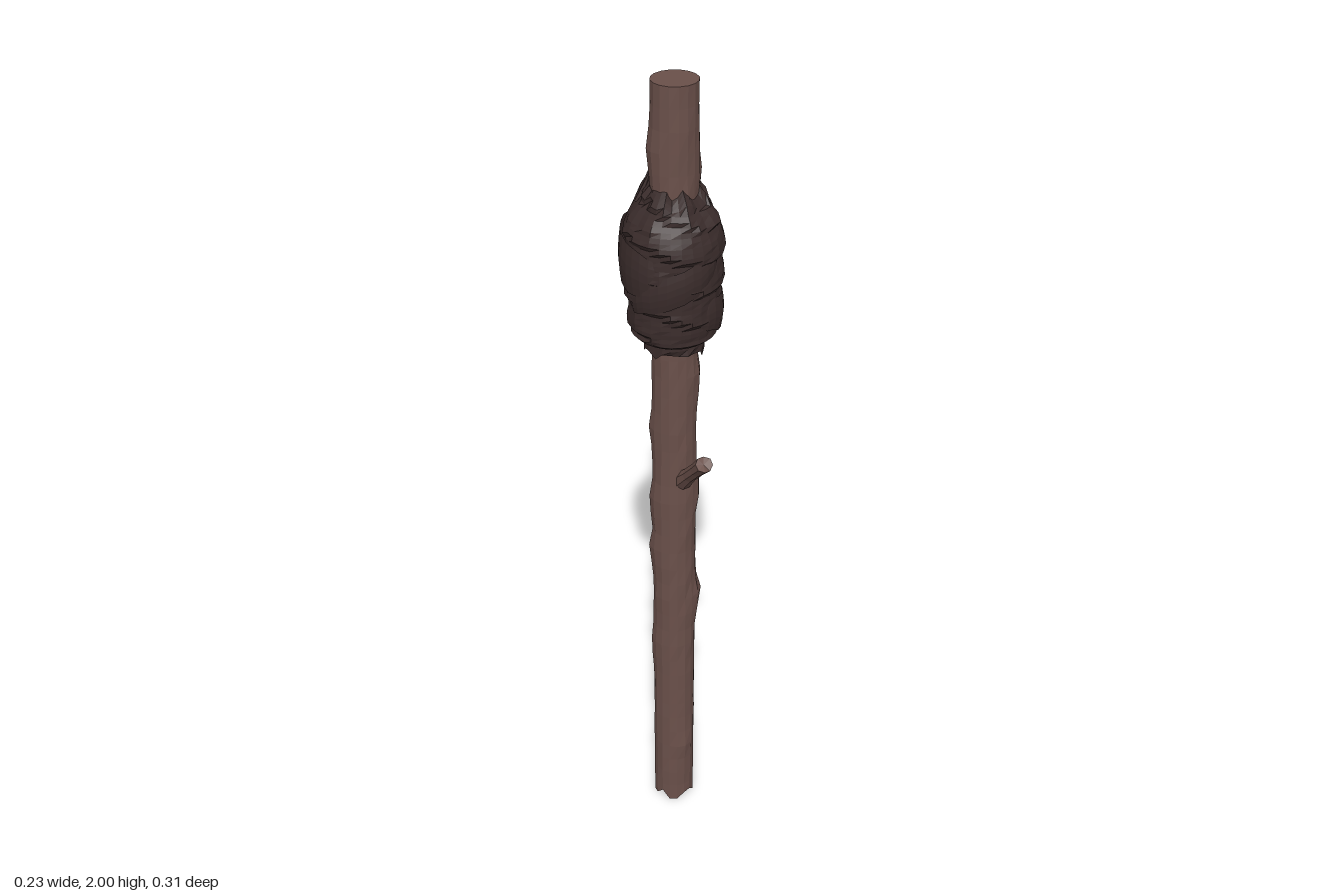
import * as THREE from 'three';

const WOOD = 0x6a504a, CLOTH = 0x3a2c2b;
const TAU = Math.PI * 2;

// repeatable noise in -1..1
const noise = (i, j) => {
  const s = Math.sin(i * 127.1 + j * 311.7) * 43758.5453;
  return (s - Math.floor(s)) * 2 - 1;
};
const lerpTable = (table, t) => {
  for (let i = 1; i < table.length; i++) {
    if (t <= table[i][0]) {
      const [a, b] = [table[i - 1], table[i]];
      return THREE.MathUtils.lerp(a[1], b[1], (t - a[0]) / (b[0] - a[0]));
    }
  }
  return table[table.length - 1][1];
};

// closed rings stacked upwards; point(row, side, angle) gives [x, y, z]
function loft(rows, sides, point, caps = []) {
  const pos = [], index = [];
  for (let i = 0; i < rows; i++)
    for (let j = 0; j < sides; j++) pos.push(...point(i, j, (j / sides) * TAU));
  const id = (i, j) => i * sides + (j % sides);
  for (let i = 0; i < rows - 1; i++)
    for (let j = 0; j < sides; j++)
      index.push(id(i, j), id(i, j + 1), id(i + 1, j + 1), id(i, j), id(i + 1, j + 1), id(i + 1, j));
  caps.forEach((centre, end) => {
    const c = pos.length / 3, row = end ? rows - 1 : 0;
    pos.push(...centre);
    for (let j = 0; j < sides; j++) {
      if (end) index.push(id(row, j), id(row, j + 1), c);
      else index.push(id(row, j + 1), id(row, j), c);
    }
  });
  const g = new THREE.BufferGeometry();
  g.setAttribute('position', new THREE.Float32BufferAttribute(pos, 3));
  g.setIndex(index);
  g.computeVertexNormals();
  return g;
}

function part(name, geometry, color, thin = false) {
  const material = new THREE.MeshStandardMaterial({ color, flatShading: true });
  if (thin) material.side = THREE.DoubleSide;
  const mesh = new THREE.Mesh(geometry, material);
  mesh.name = name;
  return mesh;
}

// knots on the shaft: height, angle from the front, size
const KNOTS = [
  [0.2, 0.4, 0.006], [0.15, 3, 0.009], [0.34, 3.2, 0.011], [0.52, -1.5, 0.007],
  [0.67, 1.5, 0.016], [0.69, 3.3, 0.012], [0.82, -1.6, 0.01], [0.96, -1.4, 0.009],
  [0.97, 2.9, 0.011], [1.0, 1.5, 0.012], [1.17, -1.6, 0.008], [1.21, 3.1, 0.012],
  [1.3, 1.4, 0.009], [1.85, -1.5, 0.01], [1.8, 1.6, 0.006],
];

function shaft() {
  const rows = 42, sides = 16;
  return loft(rows, sides, (i, j, a) => {
    let y = (i / (rows - 1)) * 2, r = 0.052;
    if (i > 0 && i < rows - 1) r += 0.0012 * noise(i, j);
    for (const [ky, ka, size] of KNOTS) {
      const da = Math.atan2(Math.sin(a - ka), Math.cos(a - ka));
      r += size * Math.exp(-(((y - ky) / 0.045) ** 2) - (da / 0.6) ** 2);
    }
    if (i === 0) y = j % 3 === 0 ? 0 : 0.014 + 0.012 * noise(3, j); // splintered foot
    return [0.004 + r * Math.sin(a), y, r * Math.cos(a)];
  }, [[0.004, 0.03, 0], [0.004, 2, 0]]);
}

// broken twig along a line, with a ragged tip
function twig(from, to) {
  const a = new THREE.Vector3(...from), b = new THREE.Vector3(...to);
  const length = a.distanceTo(b);
  const g = loft(4, 8, (i, j, t) => {
    const r = [0.024, 0.018, 0.0175, 0.02][i];
    const y = (i / 3) * length + (i === 3 ? 0.007 * noise(j, 5) : 0);
    return [r * Math.sin(t), y, r * Math.cos(t)];
  }, [[0, 0, 0], [0, length - 0.006, 0]]);
  g.applyQuaternion(new THREE.Quaternion().setFromUnitVectors(
    new THREE.Vector3(0, 1, 0), b.clone().sub(a).normalize()));
  return g.translate(a.x, a.y, a.z);
}

// main bundle, wound in tilted layers, its shoulder higher at the back
const WRAP = [[1.405, 0.055], [1.42, 0.098], [1.46, 0.106], [1.55, 0.112], [1.66, 0.113],
  [1.7, 0.1], [1.74, 0.073], [1.77, 0.052]];

function wrap() {
  const rows = 36, sides = 28;
  return loft(rows, sides, (i, j, a) => {
    const t = i / (rows - 1), y0 = 1.405 + 0.365 * t;
    let r = lerpTable(WRAP, y0);
    const layer = (y0 + 0.022 * Math.sin(a + 0.8) + 0.01 * Math.sin(2 * a)) / 0.075;
    const body = THREE.MathUtils.smoothstep(t, 0.02, 0.1);
    r -= 0.009 * (layer - Math.floor(layer)) * body;
    r += 0.0018 * noise(Math.floor(i / 2), j) * body;
    if (t > 0.78) r += 0.004 * Math.sin(a * 7); // gathers at the neck
    const back = Math.max(0, -Math.cos(a)) ** 2;
    const y = y0 + 0.075 * back * THREE.MathUtils.smoothstep(t, 0.45, 0.95)
      + 0.012 * noise(7, j) * (t > 0.9 ? 1 : 0);
    return [0.002 + r * Math.sin(a), y, r * Math.cos(a)];
  });
}

// loose strip that hugs the bundle over part of its turn
function strip(start, sweep, y0, y1, height, radius) {
  const n = 14, m = 5;
  const g = new THREE.PlaneGeometry(1, 1, n, m);
  const p = g.attributes.position;
  for (let k = 0; k < p.count; k++) {
    const u = p.getX(k) + 0.5, v = p.getY(k) + 0.5, a = start + sweep * u;
    const taper = 1 - 0.35 * Math.abs(2 * u - 1) ** 3;
    const r = radius + 0.005 * Math.sin(Math.PI * v) - 0.012 * Math.abs(2 * u - 1) ** 4;
    const y = THREE.MathUtils.lerp(y0, y1, u) + (v - 0.5) * height * taper + 0.004 * noise(k % (n + 1), y0);
    p.setXYZ(k, r * Math.sin(a), y, r * Math.cos(a));
  }
  g.computeVertexNormals();
  return g;
}

// ragged hem hanging below the bundle
function hem() {
  return loft(3, 22, (i, j, a) => {
    const r = [0.067, 0.069, 0.064][i] + 0.004 * noise(i, j);
    const y = [1.375 + 0.016 * noise(2, j), 1.4, 1.44][i];
    return [0.004 + r * Math.sin(a), y, r * Math.cos(a)];
  });
}

// folded tail of cloth tucked against the shaft
function tail(angle, y, height, width) {
  const g = new THREE.ConeGeometry(width, height, 6, 2);
  g.scale(1, 1, 0.55);
  g.rotateX(-0.3);
  g.translate(0, y, 0.062);
  return g.rotateY(angle);
}

export function createModel() {
  const model = new THREE.Group();
  model.name = 'torch';
  model.add(
    part('shaft', shaft(), WOOD),
    part('frontTwig', twig([0.018, 1.035, 0.035], [0.05, 1.145, 0.143]), WOOD),
    part('backTwig', twig([0.004, 1.225, -0.035], [0.005, 1.335, -0.143]), WOOD),
  );

  const cloth = new THREE.Group();
  cloth.name = 'clothWrap';
  cloth.add(
    part('bundle', wrap(), CLOTH, true),
    part('hem', hem(), CLOTH, true),
    part('leftStrip', strip(0.5, 2.6, 1.49, 1.46, 0.09, 0.109), CLOTH, true),
    part('rightStrip', strip(3.3, 2.5, 1.64, 1.59, 0.12, 0.114), CLOTH, true),
    part('frontStrip', strip(-1.3, 2.4, 1.52, 1.62, 0.08, 0.109), CLOTH, true),
    part('backTail', tail(Math.PI, 1.785, 0.11, 0.03), CLOTH),
    part('sideTail', tail(-2.2, 1.76, 0.08, 0.026), CLOTH),
    part('frontTail', tail(0.1, 1.725, 0.07, 0.022), CLOTH),
  );
  model.add(cloth);
  return model;
}
